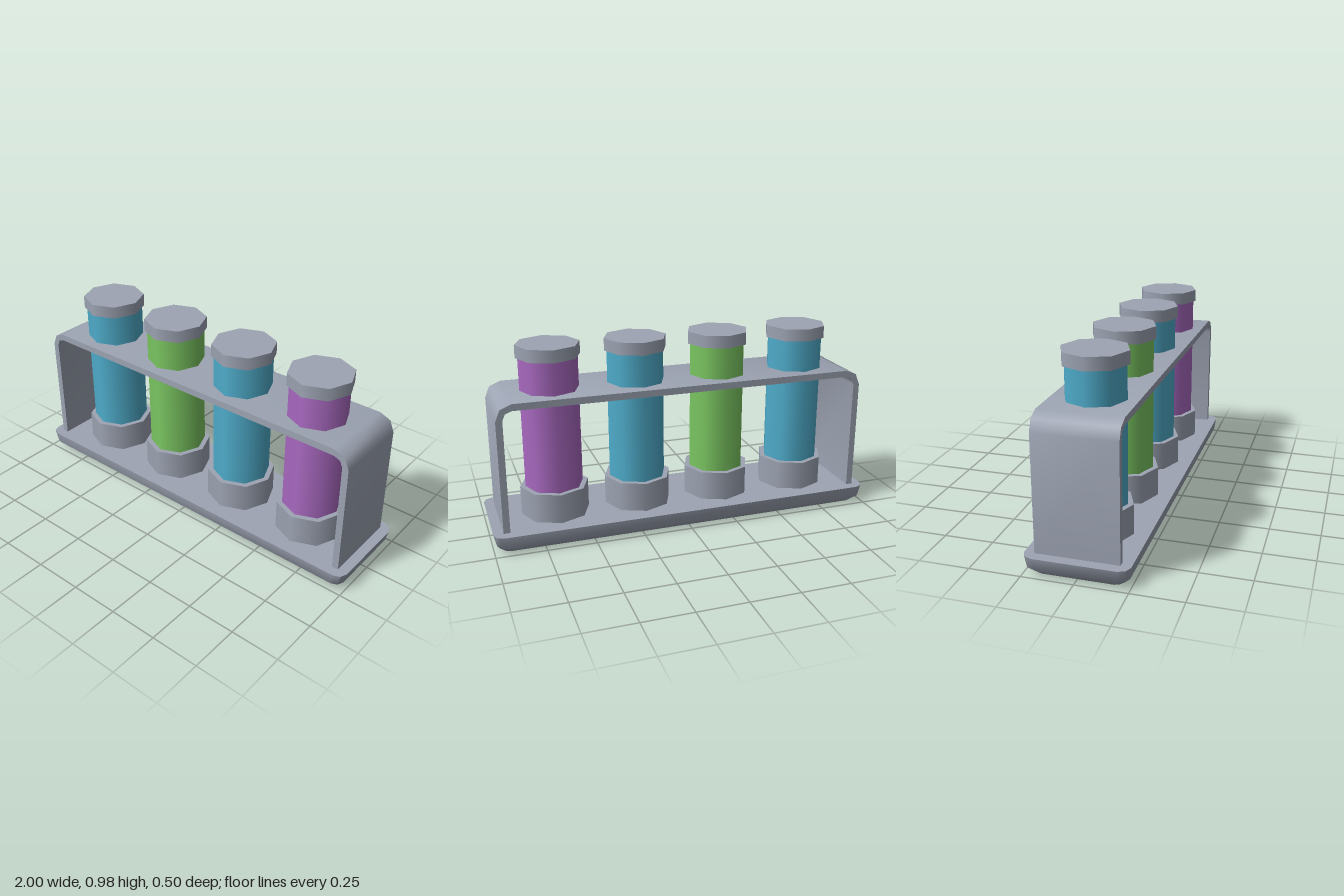
import * as THREE from 'three';
import { toCreasedNormals } from 'three/addons/utils/BufferGeometryUtils.js';

const flat = (name, color) => {
  const m = new THREE.MeshStandardMaterial({ color });
  m.name = name;
  return m;
};

// Rounded rectangle of points at height y
function ring(hx, hz, r, y) {
  const pts = [];
  for (let c = 0; c < 4; c++) {
    const sx = c === 0 || c === 3 ? 1 : -1;
    const sz = c < 2 ? 1 : -1;
    for (let i = 0; i <= 2; i++) {
      const a = (c + i / 2) * Math.PI / 2;
      pts.push(new THREE.Vector3(sx * (hx - r) + r * Math.cos(a), y, sz * (hz - r) + r * Math.sin(a)));
    }
  }
  return pts;
}

// Thin shell through rings from bottom to top, closed on top and open below
function openShell(rings) {
  const n = rings[0].length;
  const top = rings[rings.length - 1];
  const points = [...rings.flat(), new THREE.Vector3(0, top[0].y, 0)];
  const centre = points.length - 1;
  const index = [];
  for (let k = 0; k < rings.length; k++) {
    for (let i = 0; i < n; i++) {
      const a = k * n + i;
      const next = k * n + (i + 1) % n;
      if (k < rings.length - 1) index.push(a, a + n, next, a + n, next + n, next);
      else index.push(centre, next, a);
    }
  }
  const geometry = new THREE.BufferGeometry().setFromPoints(points);
  geometry.setIndex(index);
  return toCreasedNormals(geometry, 0.75);
}

// Outline of an arch, run from one foot over the top to the other
function archPoints(x, top, r, foot) {
  const pts = [new THREE.Vector2(x, foot)];
  for (let i = 0; i <= 2; i++) {
    const a = i / 2 * Math.PI / 2;
    pts.push(new THREE.Vector2(x - r + r * Math.cos(a), top - r + r * Math.sin(a)));
  }
  const mirrored = pts.map(p => new THREE.Vector2(-p.x, p.y)).reverse();
  return [...pts, ...mirrored];
}

export function createModel() {
  const model = new THREE.Group();
  model.name = 'testTubeRack';
  const metal = flat('greyMetal', 0x9da4b3);
  metal.side = THREE.DoubleSide;
  const blue = flat('blueLiquid', 0x4fadcc);
  const green = flat('greenLiquid', 0x7cc862);
  const purple = flat('purpleLiquid', 0xaa6ac2);

  const add = (name, geometry, material, parent = model) => {
    const mesh = new THREE.Mesh(geometry, material);
    mesh.name = name;
    parent.add(mesh);
  };

  // Hollow base with bevelled sides, open underneath
  add('base', openShell([
    ring(0.95, 0.2, 0.03, 0),
    ring(0.985, 0.24, 0.045, 0.035),
    ring(1, 0.248, 0.05, 0.097),
  ]), metal);

  // Arched holder bent from one strip
  const outline = new THREE.Shape([
    ...archPoints(0.95, 0.75, 0.08, 0.098),
    ...archPoints(0.917, 0.716, 0.045, 0.098).reverse(),
  ]);
  const arch = new THREE.ExtrudeGeometry(outline, { depth: 0.398, bevelEnabled: false });
  arch.translate(0, 0, -0.199);
  add('archHolder', toCreasedNormals(arch, 0.82), metal);

  // Four stoppered tubes in sockets, eight sides each
  const cylinder = (r, bottom, top) =>
    new THREE.CylinderGeometry(r, r, top - bottom, 8).translate(0, (top + bottom) / 2, 0);
  const socket = cylinder(0.174, 0.098, 0.248);
  const tube = cylinder(0.147, 0.24, 0.92);
  const stopper = cylinder(0.159, 0.914, 0.977);
  [blue, green, blue, purple].forEach((liquid, i) => {
    const group = new THREE.Group();
    group.name = 'testTube' + (i + 1);
    group.position.x = (i - 1.5) * 0.438;
    add('socket', socket, metal, group);
    add('tube', tube, liquid, group);
    add('stopper', stopper, metal, group);
    model.add(group);
  });
  return model;
}
